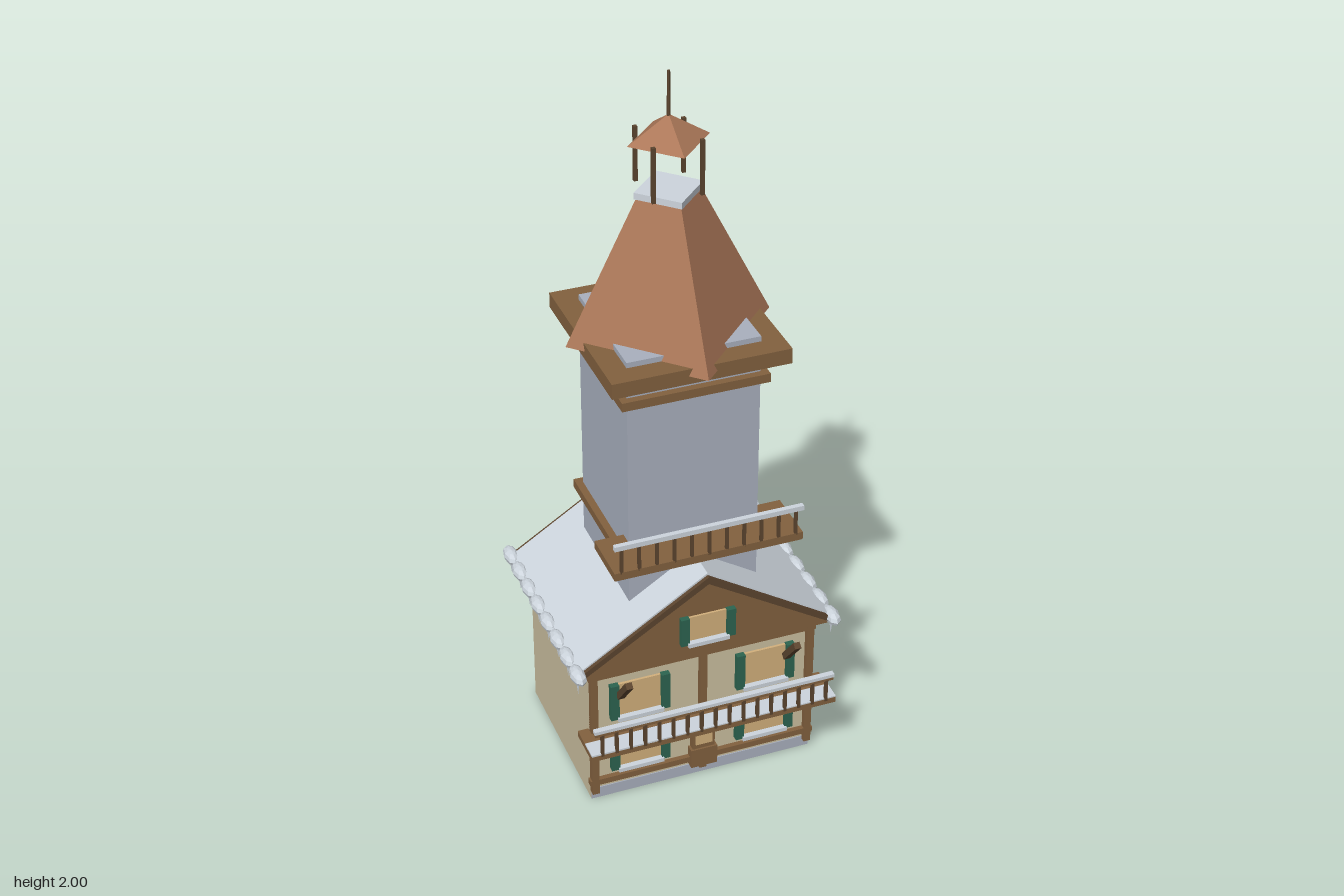
import * as THREE from 'three';

export function createModel() {
  const model = new THREE.Group();
  model.name = 'towerChalet';

  const mat = (name, color) => {
    const m = new THREE.MeshStandardMaterial({ color, flatShading: true });
    m.name = name;
    return m;
  };
  const stone = mat('stone', 0xa9b0be);
  const snow = mat('snow', 0xcdd5dd);
  const wood = mat('wood', 0x82613f);
  const darkWood = mat('darkWood', 0x5c452f);
  const plaster = mat('plaster', 0xcbbf9f);
  const glow = mat('windowGlow', 0xd2b07c);
  const green = mat('shutterGreen', 0x2c6450);
  const copper = mat('copperRoof', 0xac7859);

  const add = (name, geo, material, x = 0, y = 0, z = 0) => {
    const mesh = new THREE.Mesh(geo, material);
    mesh.name = name;
    mesh.position.set(x, y, z);
    model.add(mesh);
    return mesh;
  };
  // Box given by its extents on each axis
  const box = (name, material, x0, x1, y0, y1, z0, z1) =>
    add(name, new THREE.BoxGeometry(x1 - x0, y1 - y0, z1 - z0), material,
      (x0 + x1) / 2, (y0 + y1) / 2, (z0 + z1) / 2);
  // Outline in x and y, extruded from z0 to z1
  const slab = (name, material, pts, z0, z1) => {
    const shape = new THREE.Shape(pts.map(([x, y]) => new THREE.Vector2(x, y)));
    const geo = new THREE.ExtrudeGeometry(shape, { depth: z1 - z0, bevelEnabled: false });
    return add(name, geo, material, 0, 0, z0);
  };

  // House body
  box('walls', plaster, -0.32, 0.32, 0.002, 0.45, -0.25, 0.23);
  box('stoneBase', stone, -0.319, 0.319, 0.001, 0.035, -0.252, 0.233);
  box('floorHatch', wood, -0.08, 0.08, 0, 0.01, -0.08, 0.06);

  // Timber frame on the front
  for (const x of [-0.31, 0, 0.31]) box('framePost', wood, x - 0.01, x + 0.01, 0.025, 0.445, 0.225, 0.246);
  for (const y of [0.062, 0.215, 0.422]) box('frameBeam', wood, -0.325, 0.325, y - 0.009, y + 0.009, 0.225, 0.244);

  // Door
  box('door', wood, -0.032, 0.032, 0.05, 0.19, 0.225, 0.25);
  box('doorStep', wood, -0.038, 0.038, 0.04, 0.1, 0.225, 0.255);
  box('doorPanel', glow, -0.024, 0.024, 0.115, 0.178, 0.249, 0.253);

  // Windows with shutters and snowy sills
  const frontWindow = (x, y0, y1, z, half) => {
    box('window', glow, x - half, x + half, y0, y1, z - 0.002, z + 0.006);
    for (const s of [-1, 1]) {
      const c = x + s * (half + 0.012);
      box('shutter', green, c - 0.012, c + 0.012, y0 - 0.003, y1 + 0.003, z - 0.002, z + 0.016);
    }
    box('windowSill', snow, x - half - 0.005, x + half + 0.005, y0 - 0.008, y0 + 0.004, z, z + 0.022);
  };
  for (const x of [-0.18, 0.18]) {
    frontWindow(x, 0.095, 0.2, 0.231, 0.06);
    frontWindow(x, 0.27, 0.378, 0.231, 0.06);
  }
  frontWindow(0, 0.49, 0.57, 0.262, 0.053);
  for (const z of [0.105, -0.135]) {
    for (const y of [0.145, 0.323]) {
      box('sideWindow', glow, 0.319, 0.322, y - 0.055, y + 0.055, z - 0.056, z + 0.056);
    }
  }

  // Gable roof, snow cover and barge boards
  slab('gableRoof', wood, [[-0.35, 0.44], [0.35, 0.44], [0.35, 0.455], [0, 0.685], [-0.35, 0.455]], -0.293, 0.262);
  slab('roofSnow', snow, [[0.36, 0.452], [0.36, 0.47], [0, 0.7], [-0.36, 0.47], [-0.36, 0.452], [0, 0.68]], -0.295, 0.265);
  for (const z of [-0.3, 0.27]) {
    slab('bargeBoard', darkWood, [[0.36, 0.447], [0.36, 0.465], [0, 0.694], [-0.36, 0.465], [-0.36, 0.447], [0, 0.672]], z - 0.006, z + 0.006);
  }

  // Snow lumps and icicles along the eaves
  for (const x of [-0.36, 0.36]) {
    for (let i = 0; i < 8; i++) {
      const z = -0.3 + i * 0.0805;
      add('eaveSnow', new THREE.SphereGeometry(1, 8, 6), snow, x, 0.464, z).scale.set(0.021, 0.02, 0.043);
      add('icicle', new THREE.ConeGeometry(0.005, 0.045, 5), snow, x, 0.424, z).rotation.x = Math.PI;
    }
  }

  // House balcony
  box('balconyFloor', wood, -0.35, 0.35, 0.222, 0.239, 0.22, 0.335);
  box('balconySnow', snow, -0.35, 0.35, 0.238, 0.243, 0.28, 0.335);
  box('balconyRail', wood, -0.34, 0.34, 0.303, 0.313, 0.323, 0.337);
  box('balconyRailSnow', snow, -0.342, 0.342, 0.312, 0.322, 0.322, 0.338);
  for (let i = 0; i < 17; i++) {
    const x = -0.32 + i * 0.04;
    box('baluster', darkWood, x - 0.004, x + 0.004, 0.235, 0.306, 0.328, 0.338);
  }

  // Slanted braces under the front eaves
  for (const x of [-0.238, 0.238]) {
    const brace = add('brace', new THREE.BoxGeometry(0.018, 0.115, 0.018), darkWood, x, 0.39, 0.282);
    brace.rotation.x = Math.atan2(0.07, 0.085);
  }

  // Tower shaft with timber bands
  const cz = -0.017;
  const band = (name, material, half, y0, y1) =>
    box(name, material, -half, half, y0, y1, cz - half, cz + half);
  band('towerShaft', stone, 0.18, 0.5, 1.32);
  band('lowerBand', wood, 0.2, 0.71, 0.735);
  band('upperBand', wood, 0.2, 1.192, 1.217);
  band('towerCornice', wood, 0.24, 1.262, 1.305);

  // Tower balcony
  box('towerBalconyFloor', wood, -0.26, 0.26, 0.752, 0.775, 0.125, 0.28);
  box('towerRail', snow, -0.26, 0.26, 0.846, 0.86, 0.269, 0.283);
  for (let i = 0; i < 11; i++) {
    const x = -0.24 + i * 0.048;
    box('towerBaluster', darkWood, x - 0.004, x + 0.004, 0.77, 0.85, 0.272, 0.28);
  }

  // Chimney
  box('chimney', stone, 0.12, 0.2, 0.5, 0.77, -0.175, -0.09);
  box('chimneySnow', snow, 0.112, 0.208, 0.766, 0.784, -0.183, -0.082);

  // Four-sided spire and lantern
  add('spire', new THREE.CylinderGeometry(0.085, 0.278, 0.387, 4), copper, 0, 1.4785, cz);
  add('spireSnow', new THREE.CylinderGeometry(0.092, 0.092, 0.018, 4), snow, 0, 1.678, cz);
  for (const x of [-0.064, 0.064]) {
    for (const z of [-0.064, 0.064]) {
      box('lanternPost', darkWood, x - 0.005, x + 0.005, 1.685, 1.835, cz + z - 0.005, cz + z + 0.005);
    }
  }
  add('lanternRoof', new THREE.ConeGeometry(0.108, 0.07, 4), copper, 0, 1.85, cz);
  add('finial', new THREE.CylinderGeometry(0.004, 0.005, 0.13, 6), darkWood, 0, 1.935, cz);

  return model;
}
